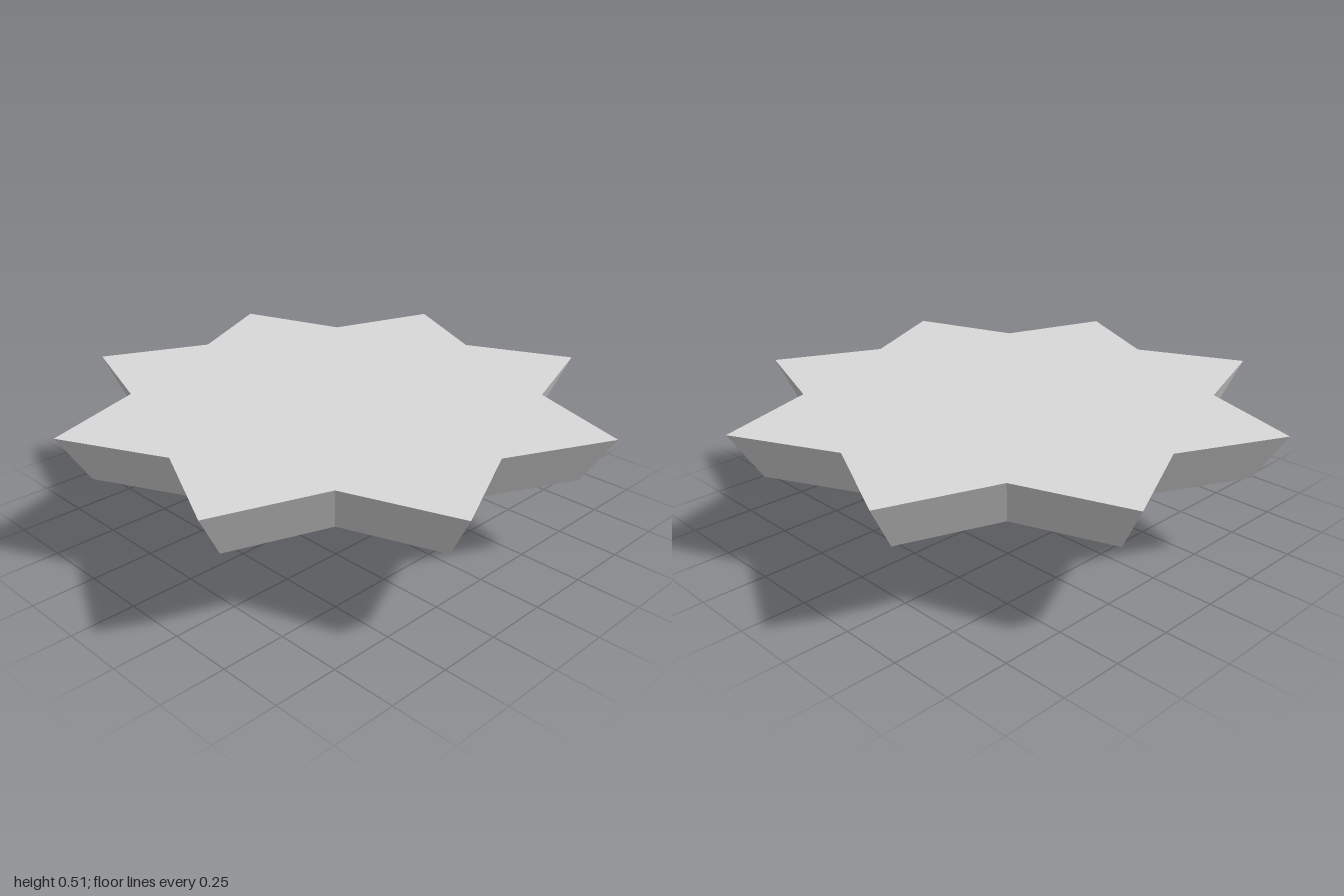
import * as THREE from 'three';

const POINTS = 8;
const TIP = 1.082, VALLEY = 0.802;

// Corners of the eight-pointed star: valleys on the axes, tips between them
function starRing(scale, y) {
  const ring = [];
  for (let i = 0; i < POINTS * 2; i++) {
    const a = (i / (POINTS * 2)) * Math.PI * 2;
    const r = (i % 2 ? TIP : VALLEY) * scale;
    ring.push([Math.sin(a) * r, y, Math.cos(a) * r]);
  }
  return ring;
}

// Joins a list of [scale, y] star sections, listed from below upwards on the outside
function starLoft(sections) {
  const pos = [];
  const rings = sections.map(([s, y]) => starRing(s, y));
  for (let k = 0; k < rings.length - 1; k++) {
    const lo = rings[k], hi = rings[k + 1];
    for (let i = 0; i < lo.length; i++) {
      const j = (i + 1) % lo.length;
      if (sections[k][0] > 0) pos.push(...lo[i], ...lo[j], ...hi[j]);
      if (sections[k + 1][0] > 0) pos.push(...lo[i], ...hi[j], ...hi[i]);
    }
  }
  const geo = new THREE.BufferGeometry();
  geo.setAttribute('position', new THREE.Float32BufferAttribute(pos, 3));
  geo.computeVertexNormals();
  return geo;
}

export function createModel() {
  const model = new THREE.Group();
  model.name = 'starOrnament';

  const silver = new THREE.MeshStandardMaterial({ color: 0xdadada, flatShading: true });
  silver.name = 'silver';
  const purple = new THREE.MeshStandardMaterial({ color: 0xda00cb, flatShading: true });
  purple.name = 'purple';

  const add = (name, sections, material) => {
    const mesh = new THREE.Mesh(starLoft(sections), material);
    mesh.name = name;
    model.add(mesh);
  };

  // Flared plate: recess floor, recess wall, rim, outer wall and flat top
  add('starPlate', [
    [0, 0.387], [0.77, 0.387], [0.77, 0.326], [0.89, 0.326], [1, 0.51], [0, 0.51],
  ], silver);

  // Faceted gem hanging from the recess, with a shallow crown and a pointed base
  add('starGem', [[0, 0], [0.43, 0.3], [0.652, 0.386]], purple);

  return model;
}
